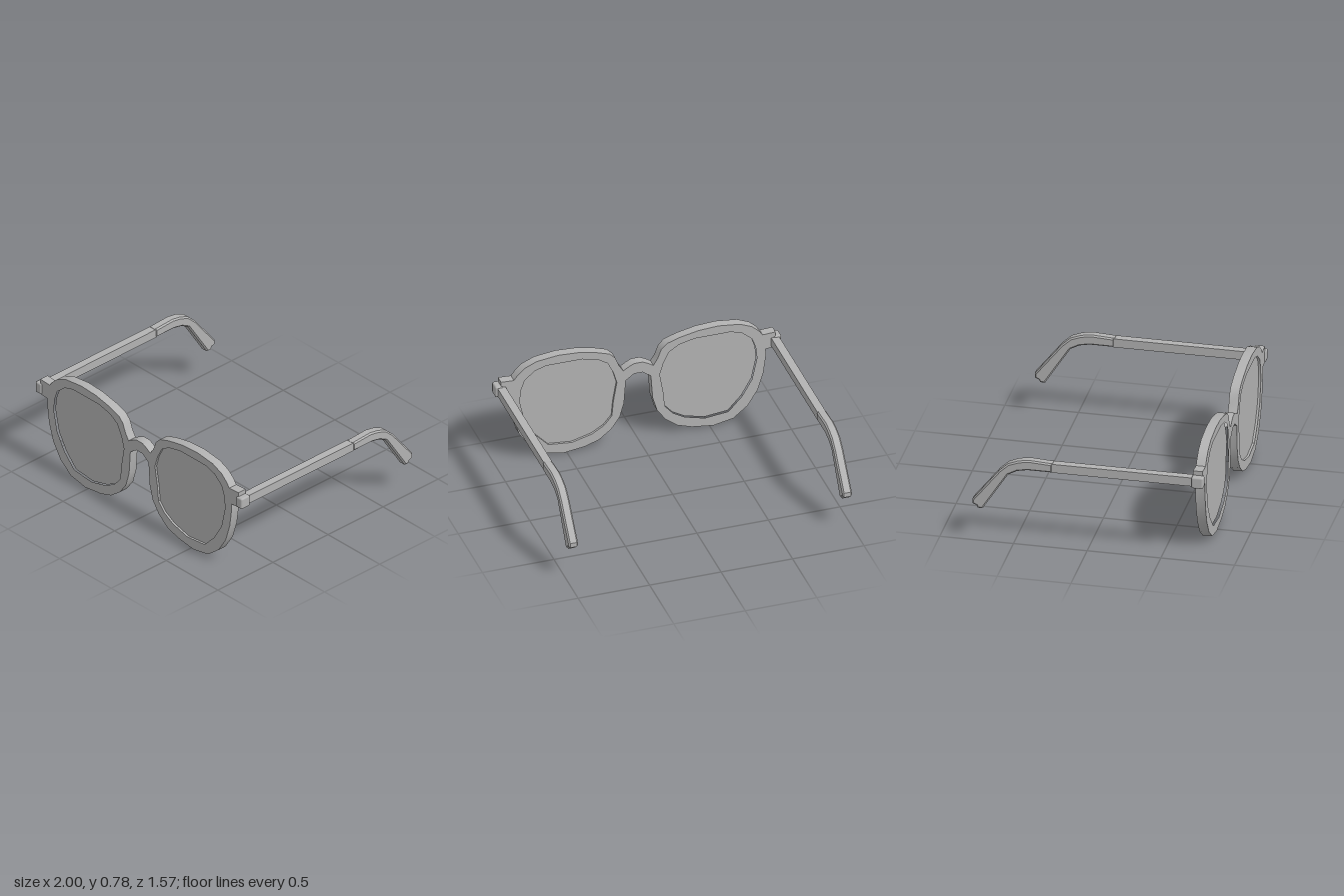
import * as THREE from 'three';
import { toCreasedNormals } from 'three/addons/utils/BufferGeometryUtils.js';
import { RoundedBoxGeometry } from 'three/addons/geometries/RoundedBoxGeometry.js';

const toPoints = (list, s = 1) => list.map(([x, y]) => new THREE.Vector2(s * x, y));

// Half outline of the front: bridge top, rim, end piece, rim, bridge bottom
const FRONT = [
  [0.03, 0.605], [0.065, 0.588], [0.105, 0.563], [0.135, 0.61], [0.16, 0.675], [0.2, 0.715],
  [0.29, 0.745], [0.42, 0.772], [0.56, 0.78], [0.71, 0.762], [0.795, 0.725], [0.845, 0.68],
  [0.87, 0.645], [0.96, 0.65], [0.96, 0.535], [0.89, 0.53], [0.893, 0.485], [0.875, 0.35],
  [0.835, 0.22], [0.765, 0.11], [0.665, 0.03], [0.525, 0.002], [0.375, 0.022], [0.275, 0.055],
  [0.19, 0.12], [0.13, 0.205], [0.1, 0.31], [0.088, 0.483], [0.03, 0.525],
];

const LENS = [
  [0.82, 0.56], [0.795, 0.63], [0.725, 0.69], [0.645, 0.715], [0.395, 0.715], [0.285, 0.69],
  [0.215, 0.645], [0.175, 0.565], [0.15, 0.48], [0.175, 0.335], [0.185, 0.225], [0.24, 0.16],
  [0.325, 0.11], [0.465, 0.073], [0.63, 0.09], [0.725, 0.19], [0.795, 0.31], [0.83, 0.47],
];

// Temple tip seen from the side, as (z, y)
const TIP = [
  [-0.24, 0.61], [-0.4, 0.619], [-0.47, 0.607], [-0.54, 0.58], [-0.6, 0.525], [-0.782, 0.295],
  [-0.782, 0.262], [-0.755, 0.252], [-0.745, 0.232], [-0.712, 0.232], [-0.7, 0.252],
  [-0.54, 0.5], [-0.48, 0.532], [-0.41, 0.546], [-0.24, 0.546],
];

export function createModel() {
  const group = new THREE.Group();
  const frameGrey = new THREE.MeshStandardMaterial({ color: 0xb2b2b2 });
  frameGrey.name = 'frame grey';

  function add(name, geometry, x = 0, y = 0, z = 0) {
    const mesh = new THREE.Mesh(geometry, frameGrey);
    mesh.name = name;
    mesh.position.set(x, y, z);
    group.add(mesh);
  }
  const extrude = (shape, depth, options = {}) =>
    new THREE.ExtrudeGeometry(shape, { depth, bevelEnabled: false, ...options });

  // Both rims, bridge and end pieces in one plate
  const front = new THREE.Shape([...toPoints(FRONT), ...toPoints(FRONT, -1).reverse()]);
  for (const s of [1, -1]) front.holes.push(new THREE.Path(toPoints(LENS, s)));
  add('frontFrame', toCreasedNormals(extrude(front, 0.065), 0.5), 0, 0, 0.71);

  // Temple tip, extruded across x with small chamfers
  const tip = extrude(new THREE.Shape(toPoints(TIP)), 0.046, {
    bevelEnabled: true, bevelSize: 0.01, bevelOffset: -0.01, bevelThickness: 0.01, bevelSegments: 1,
  });
  tip.rotateY(-Math.PI / 2).translate(0.023, 0, 0);
  const tipSmooth = toCreasedNormals(tip, 0.5);

  for (const [s, side] of [[1, 'left'], [-1, 'right']]) {
    // Lens set back a little from both rim faces
    add(side + 'Lens', extrude(new THREE.Shape(toPoints(LENS, s)), 0.034), 0, 0, 0.726);
    add(side + 'Hinge', new RoundedBoxGeometry(0.056, 0.082, 0.08, 2, 0.012), s * 0.972, 0.578, 0.745);
    add(side + 'Temple', new THREE.BoxGeometry(0.056, 0.062, 0.98), s * 0.957, 0.577, 0.24);
    add(side + 'TempleTip', tipSmooth, s * 0.958);
  }
  return group;
}
